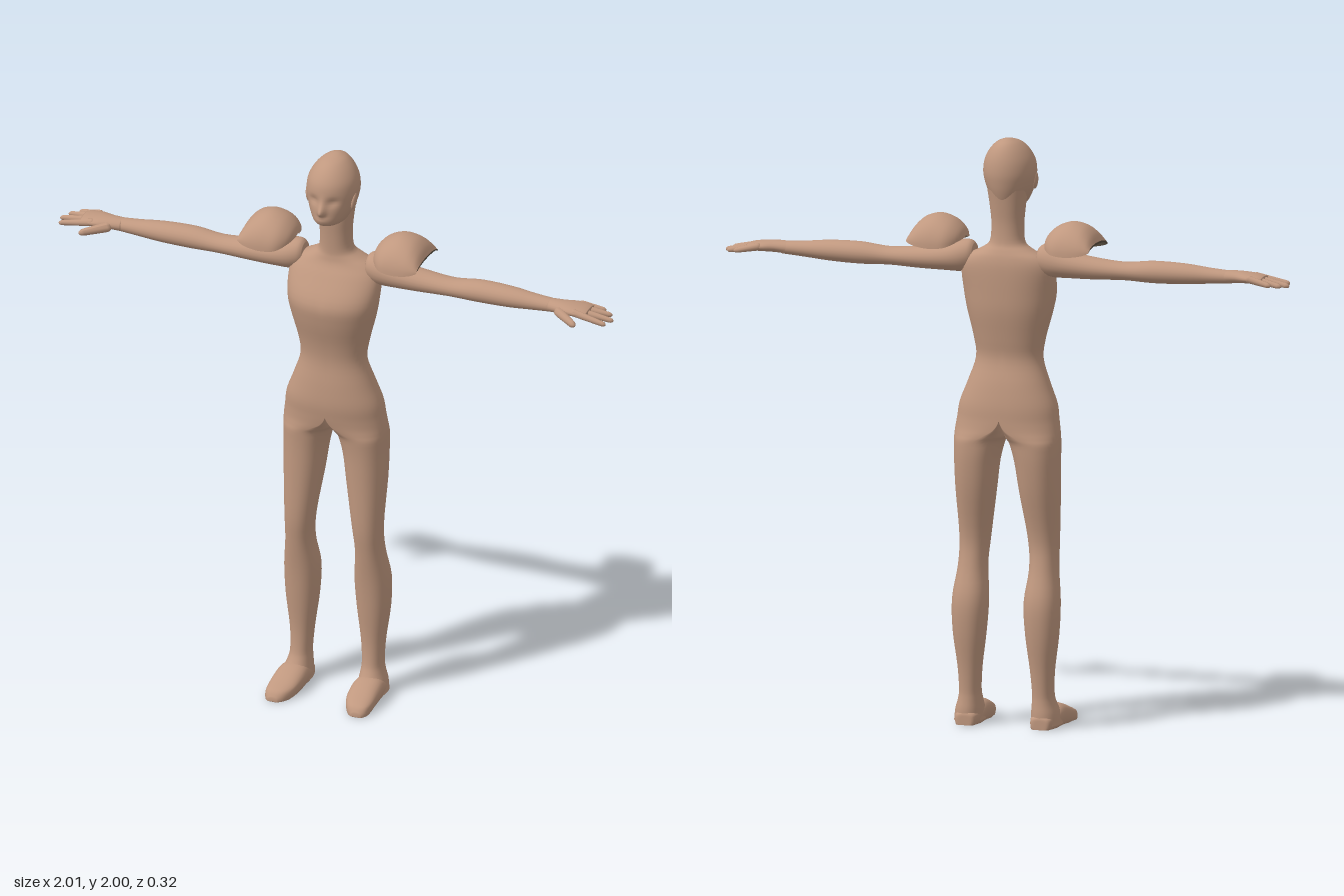
import * as THREE from 'three';
import { mergeVertices } from 'three/addons/utils/BufferGeometryUtils.js';

const skin = new THREE.MeshStandardMaterial({ color: 0xc0987f });
skin.name = 'skin';
const lining = new THREE.MeshStandardMaterial({ color: 0x5a4f40 });
lining.name = 'darkLining';

// Axis maps: (t along the loft, u and v across it) to x, y, z
const AXES = {
  y: (t, u, v) => [u, t, v],
  x: (t, u, v) => [t, v, u],
  z: (t, u, v) => [v, u, t],
};

const spline = (a, b, c, d, t) =>
  b + 0.5 * t * (c - a + t * (2 * a - 5 * b + 4 * c - d + t * (3 * (b - c) + d - a)));
const power = (c, n) => Math.sign(c) * Math.abs(c) ** (2 / n);
const bell = (x, w) => Math.exp(-((x / w) ** 2));

// Smoothly interpolates rows of section numbers
function refine(rows) {
  const out = [];
  const at = (i) => rows[Math.max(0, Math.min(rows.length - 1, i))];
  for (let i = 0; i < rows.length - 1; i++)
    for (let k = 0; k < 4; k++)
      out.push(rows[i].map((_, j) => spline(at(i - 1)[j], at(i)[j], at(i + 1)[j], at(i + 2)[j], k / 4)));
  out.push(rows[rows.length - 1]);
  return out;
}

// Mirrors a geometry to the right side, keeping its faces outward
function place(geo, side) {
  if (side < 0) {
    geo.scale(-1, 1, 1);
    const ix = geo.index.array;
    for (let i = 0; i < ix.length; i += 3) [ix[i], ix[i + 1]] = [ix[i + 1], ix[i]];
  }
  geo.computeVertexNormals();
  return geo;
}

function surface(pos, idx) {
  const geo = new THREE.BufferGeometry();
  geo.setAttribute('position', new THREE.Float32BufferAttribute(pos, 3));
  geo.setIndex(idx);
  geo.computeVertexNormals();
  return geo;
}

// Closed loft through rounded sections [t, u0, u1, v0, v1]
function loft(axis, rows, { n = 2, seg = 28 } = {}) {
  const rings = refine(rows);
  const pos = [], idx = [];
  for (const [t, u0, u1, v0, v1] of rings)
    for (let i = 0; i < seg; i++) {
      const a = (i / seg) * Math.PI * 2;
      pos.push(...AXES[axis](t, (u0 + u1) / 2 + ((u1 - u0) / 2) * power(Math.cos(a), n),
        (v0 + v1) / 2 + ((v1 - v0) / 2) * power(Math.sin(a), n)));
    }
  for (let r = 0; r < rings.length - 1; r++)
    for (let i = 0; i < seg; i++) {
      const a = r * seg + i, b = r * seg + ((i + 1) % seg);
      idx.push(a, a + seg, b, b, a + seg, b + seg);
    }
  [0, rings.length - 1].forEach((r, end) => {
    const [t, u0, u1, v0, v1] = rings[r], c = pos.length / 3;
    pos.push(...AXES[axis](t, (u0 + u1) / 2, (v0 + v1) / 2));
    for (let i = 0; i < seg; i++) {
      const a = r * seg + i, b = r * seg + ((i + 1) % seg);
      idx.push(...(end ? [c, b, a] : [c, a, b]));
    }
  });
  return surface(pos, idx);
}

// Seamless body: each side's round leg section [y, x0, x1, zb, zf, blend]
// turns into half of the torso as blend goes to 1, welded on the middle line
function bodyGeometry(rows) {
  const rings = refine(rows), seg = 48, n = 2.2, pos = [], idx = [];
  for (const side of [1, -1]) {
    const start = pos.length / 3;
    for (const [y, x0, x1, zb, zf, blend] of rings)
      for (let i = 0; i < seg; i++) {
        const a = (i / seg) * Math.PI * 2, c = power(Math.cos(a), n);
        const x = THREE.MathUtils.lerp((x0 + x1) / 2 + ((x1 - x0) / 2) * c, x1 * Math.max(0, c),
          THREE.MathUtils.clamp(blend, 0, 1));
        pos.push(x < 0.001 ? 0 : x * side, y, (zb + zf) / 2 + ((zf - zb) / 2) * power(Math.sin(a), n));
      }
    const face = (a, b, c) => {
      if (pos[a * 3] || pos[b * 3] || pos[c * 3]) idx.push(...(side > 0 ? [a, b, c] : [b, a, c]));
    };
    for (let r = 0; r < rings.length - 1; r++)
      for (let i = 0; i < seg; i++) {
        const a = start + r * seg + i, b = start + r * seg + ((i + 1) % seg);
        face(a, a + seg, b);
        face(b, a + seg, b + seg);
      }
  }
  const geo = surface(pos, idx);
  geo.deleteAttribute('normal');
  const welded = mergeVertices(geo, 1e-5);
  welded.computeVertexNormals();
  return welded;
}

// Rounded, tapered finger between two points
function finger(from, to, r) {
  const a = new THREE.Vector3(...from), b = new THREE.Vector3(...to);
  const dir = b.clone().sub(a), len = dir.length();
  const geo = new THREE.CapsuleGeometry(r, len - r, 4, 10);
  const p = geo.attributes.position;
  for (let i = 0; i < p.count; i++) {
    const k = 1 - 0.35 * (p.getY(i) / len + 0.5);
    p.setX(i, p.getX(i) * k);
    p.setZ(i, p.getZ(i) * k);
  }
  geo.applyQuaternion(new THREE.Quaternion().setFromUnitVectors(new THREE.Vector3(0, 1, 0), dir.normalize()));
  a.add(b).multiplyScalar(0.5);
  return geo.translate(a.x, a.y, a.z);
}

// Arched shoulder shell or its inner face, rows are [x, half depth, base y, peak y]
function pauldronGeometry(inside) {
  const rows = refine([[0.145, 0.012, 1.655, 1.66], [0.156, 0.062, 1.647, 1.688], [0.188, 0.099, 1.632, 1.717],
    [0.235, 0.108, 1.627, 1.732], [0.28, 0.108, 1.631, 1.722], [0.31, 0.102, 1.638, 1.697],
    [0.325, 0.095, 1.645, 1.668]]).map((r) => [...r, 0]);
  const layers = inside ? [rows.at(-1), ...rows.reverse().map((r) => [...r.slice(0, 4), 0.007])] : rows;
  const seg = 24, pos = [], idx = [], w = seg + 1;
  for (const [x, d, base, peak, inset] of layers)
    for (let i = 0; i <= seg; i++) {
      const a = (i / seg) * Math.PI, s = Math.sin(a);
      pos.push(x, base + Math.max(0, peak - base - inset) * s, -0.05 + Math.max(0, d - inset * s) * Math.cos(a));
    }
  for (let r = 0; r < layers.length - 1; r++)
    for (let i = 0; i < seg; i++) {
      const a = r * w + i, b = a + w;
      idx.push(a, b, a + 1, a + 1, b, b + 1);
    }
  return surface(pos, idx);
}

export function createModel() {
  const model = new THREE.Group();
  model.name = 'figure';
  const add = (name, geo, parent = model, mat = skin) => {
    const mesh = new THREE.Mesh(geo, mat);
    mesh.name = name;
    parent.add(mesh);
  };
  const even = (rows) => rows.map(([y, w, zb, zf]) => [y, -w, w, zb, zf]);

  // Legs, torso and neck in one skin
  const legs = [[0.012, 0.087, 0.187, -0.1, 0.035], [0.05, 0.088, 0.182, -0.1, 0.028], [0.085, 0.092, 0.171, -0.096, 0.008],
    [0.12, 0.094, 0.166, -0.095, -0.004], [0.2, 0.088, 0.17, -0.102, -0.008], [0.32, 0.073, 0.185, -0.118, 0.002],
    [0.43, 0.067, 0.188, -0.119, 0.012], [0.54, 0.078, 0.175, -0.09, 0.027], [0.64, 0.07, 0.174, -0.081, 0.039],
    [0.8, 0.046, 0.181, -0.113, 0.041], [0.9, 0.032, 0.183, -0.127, 0.043], [0.965, 0.014, 0.184, -0.131, 0.048]];
  const torso = [[1.05, 0.177, -0.131, 0.063], [1.1, 0.169, -0.128, 0.068], [1.17, 0.142, -0.115, 0.064],
    [1.25, 0.116, -0.095, 0.056], [1.32, 0.124, -0.103, 0.064], [1.41, 0.147, -0.117, 0.086], [1.48, 0.16, -0.12, 0.09],
    [1.56, 0.162, -0.12, 0.045], [1.6, 0.138, -0.114, 0.018], [1.625, 0.09, -0.104, 0.01], [1.65, 0.06, -0.093, 0.008],
    [1.71, 0.055, -0.09, 0.012], [1.77, 0.06, -0.096, 0.018], [1.83, 0.068, -0.104, 0.02]];
  add('body', bodyGeometry([...legs.map((r) => [...r, 0]), [0.99, 0, 0.184, -0.132, 0.052, 0.3],
    [1.015, 0, 0.182, -0.132, 0.057, 0.75], ...torso.map(([y, w, zb, zf]) => [y, 0, w, zb, zf, 1])]));

  // Head with nose, mouth and shallow eye sockets
  const head = loft('y', even([
    [1.768, 0.03, -0.05, 0.03], [1.775, 0.047, -0.086, 0.072], [1.79, 0.058, -0.096, 0.09], [1.82, 0.073, -0.107, 0.09],
    [1.85, 0.083, -0.114, 0.087], [1.885, 0.089, -0.118, 0.086], [1.925, 0.084, -0.114, 0.079],
    [1.96, 0.066, -0.102, 0.057], [1.985, 0.042, -0.084, 0.026], [1.997, 0.018, -0.06, -0.015],
    [2.0, 0.003, -0.043, -0.037]]), { seg: 96 });
  const p = head.attributes.position;
  for (let i = 0; i < p.count; i++) {
    const x = p.getX(i), y = p.getY(i), z = p.getZ(i);
    if (z < 0.02) continue;
    const nose = 0.022 * bell(x, 0.013) * bell(y - 1.832, y < 1.832 ? 0.012 : 0.028);
    const mouth = 0.004 * bell(x, 0.02) * bell(y - 1.802, 0.007);
    const socket = 0.01 * bell(Math.abs(x) - 0.034, 0.02) * bell(y - 1.868, 0.014);
    p.setZ(i, z + nose + mouth - socket);
  }
  head.computeVertexNormals();
  add('head', head);

  for (const side of [1, -1]) {
    const name = side > 0 ? 'left' : 'right';
    const half = new THREE.Group();
    half.name = name + 'Side';
    model.add(half);
    const put = (part, geo, mat) => add(name + part, place(geo, side), half, mat);

    put('Ear', new THREE.SphereGeometry(1, 14, 12).scale(0.009, 0.03, 0.017).rotateZ(-0.12).rotateX(-0.15).translate(0.082, 1.853, 0.004));

    // Foot with flat sole, narrowing to the toes
    const foot = loft('z', [
      [-0.102, 0.005, 0.03, 0.118, 0.148], [-0.095, 0, 0.045, 0.1, 0.168], [-0.05, 0, 0.06, 0.088, 0.182],
      [0, 0, 0.078, 0.085, 0.188], [0.05, 0, 0.07, 0.085, 0.19], [0.1, 0, 0.052, 0.093, 0.19],
      [0.14, 0, 0.036, 0.113, 0.184], [0.158, 0.005, 0.02, 0.135, 0.168]], { n: 2.3 });
    const f = foot.attributes.position;
    for (let i = 0; i < f.count; i++) if (f.getY(i) < 0.03) f.setY(i, Math.max(0, f.getY(i) * 1.6 - 0.018));
    put('Foot', foot);

    // Arm from shoulder cap to wrist
    put('Arm', loft('x', [
      [0.115, -0.08, -0.01, 1.56, 1.635], [0.13, -0.092, 0.002, 1.548, 1.647], [0.165, -0.1, 0.01, 1.538, 1.645],
      [0.22, -0.1, 0.01, 1.538, 1.629], [0.31, -0.092, 0.002, 1.539, 1.614], [0.42, -0.085, -0.003, 1.543, 1.605],
      [0.52, -0.09, -0.002, 1.54, 1.615], [0.63, -0.085, -0.003, 1.543, 1.613], [0.72, -0.075, -0.01, 1.55, 1.604],
      [0.8, -0.07, -0.015, 1.556, 1.598]], { seg: 22 }));

    // Hand, fingers and thumb
    put('Palm', loft('x', [[0.77, -0.07, -0.014, 1.555, 1.599], [0.82, -0.076, -0.004, 1.559, 1.6],
      [0.86, -0.09, 0.004, 1.561, 1.598], [0.9, -0.094, 0.002, 1.563, 1.593], [0.918, -0.086, -0.006, 1.568, 1.588]], { seg: 20 }));
    const tips = [[0.95, -0.096, 1.566], [0.98, -0.076, 1.562], [0.997, -0.043, 1.559], [0.986, -0.003, 1.561]];
    tips.forEach(([x, z, y], i) =>
      put('Finger' + (i + 1), finger([0.87, 1.581, -0.08 + i * 0.023], [x, y, z], 0.0135)));
    put('Thumb', finger([0.815, 1.574, -0.014], [0.893, 1.562, 0.042], 0.018));

    put('Pauldron', pauldronGeometry(false));
    put('PauldronLining', pauldronGeometry(true), lining);
  }
  return model;
}
